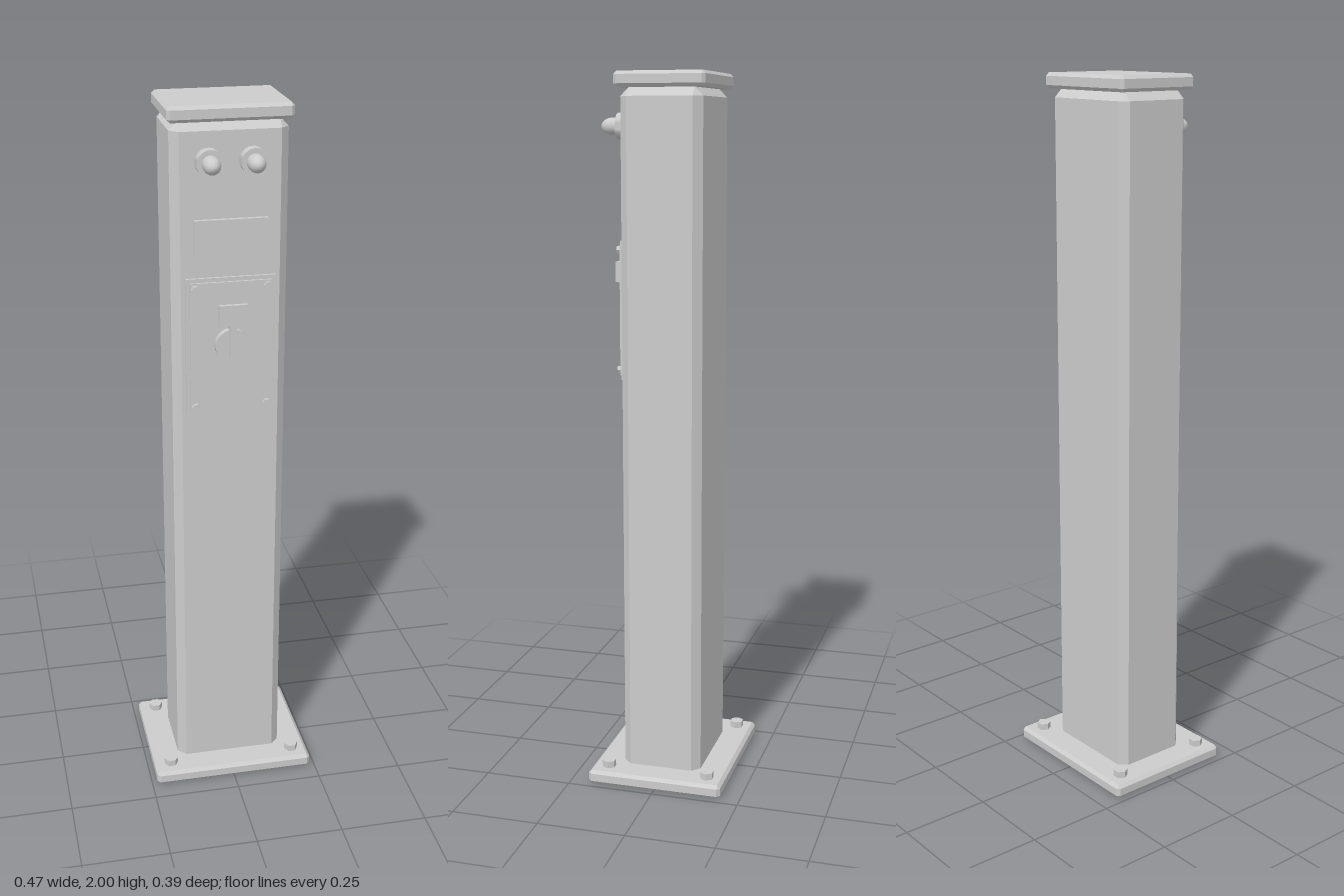
import * as THREE from 'three';
import { ConvexGeometry } from 'three/addons/geometries/ConvexGeometry.js';
import { toCreasedNormals } from 'three/addons/utils/BufferGeometryUtils.js';

export function createModel() {
  const model = new THREE.Group();
  model.name = 'servicePost';
  const grey = new THREE.MeshStandardMaterial({ color: 0xcccccc });
  grey.name = 'lightGrey';

  function add(name, geometry, x = 0, y = 0, z = 0) {
    const mesh = new THREE.Mesh(geometry, grey);
    mesh.name = name;
    mesh.position.set(x, y, z);
    model.add(mesh);
    return mesh;
  }

  // Box with every edge cut at 45 degrees
  function chamferBox(w, h, d, c) {
    const points = [];
    for (const sx of [-1, 1]) for (const sy of [-1, 1]) for (const sz of [-1, 1]) {
      const x = w / 2, y = h / 2, z = d / 2;
      points.push(
        new THREE.Vector3(sx * x, sy * (y - c), sz * (z - c)),
        new THREE.Vector3(sx * (x - c), sy * y, sz * (z - c)),
        new THREE.Vector3(sx * (x - c), sy * (y - c), sz * z));
    }
    return new ConvexGeometry(points);
  }

  // Box placed by its vertical and depth limits
  function block(name, w, y0, y1, z0, z1) {
    add(name, new THREE.BoxGeometry(w, y1 - y0, z1 - z0), 0, (y0 + y1) / 2, (z0 + z1) / 2);
  }

  // Main body
  add('basePlate', chamferBox(0.47, 0.04, 0.39, 0.009), 0, 0.02, 0);
  add('column', chamferBox(0.312, 1.948, 0.228, 0.023), 0, 0.984, 0);
  add('cap', chamferBox(0.33, 0.042, 0.252, 0.009), 0, 1.979, 0);

  // Hexagonal anchor bolts, corners pointing sideways
  const anchor = new THREE.CylinderGeometry(0.02, 0.02, 0.022, 6).rotateY(Math.PI / 2).toNonIndexed();
  anchor.computeVertexNormals();
  for (const x of [-0.186, 0.186]) for (const z of [-0.146, 0.146]) add('anchorBolt', anchor, x, 0.048, z);

  // Indicator lamps: collar and rounded lens
  const collar = toCreasedNormals(
    new THREE.CylinderGeometry(0.036, 0.036, 0.036, 24).rotateX(Math.PI / 2), 0.6);
  const lensProfile = [[0.023, 0], [0.023, 0.022], [0.021, 0.031], [0.017, 0.039], [0.011, 0.045], [0.006, 0.048], [0, 0.049]]
    .map(([r, y]) => new THREE.Vector2(r, y));
  const lens = new THREE.LatheGeometry(lensProfile, 24).rotateX(Math.PI / 2);
  for (const x of [-0.058, 0.058]) {
    add('lampCollar', collar, x, 1.857, 0.126);
    add('lampLens', lens, x, 1.857, 0.143);
  }

  // Label plate and access door
  block('labelPlate', 0.195, 1.614, 1.708, 0.11, 0.126);
  block('doorFrame', 0.244, 1.168, 1.552, 0.11, 0.121);
  block('doorPanel', 0.222, 1.179, 1.541, 0.12, 0.127);

  // Door screws
  const screw = new THREE.CylinderGeometry(0.011, 0.011, 0.014, 6).rotateY(Math.PI / 2).rotateX(Math.PI / 2).toNonIndexed();
  screw.computeVertexNormals();
  for (const x of [-0.098, 0.098]) for (const y of [1.193, 1.526]) add('doorScrew', screw, x, y, 0.13);

  // Lock with its key
  const lock = toCreasedNormals(
    new THREE.CylinderGeometry(0.046, 0.046, 0.022, 24).rotateX(Math.PI / 2), 0.6);
  add('lockBarrel', lock, 0, 1.368, 0.134);
  block('keyStem', 0.018, 1.34, 1.44, 0.127, 0.158);
  block('keyHead', 0.078, 1.43, 1.487, 0.151, 0.162);

  return model;
}
